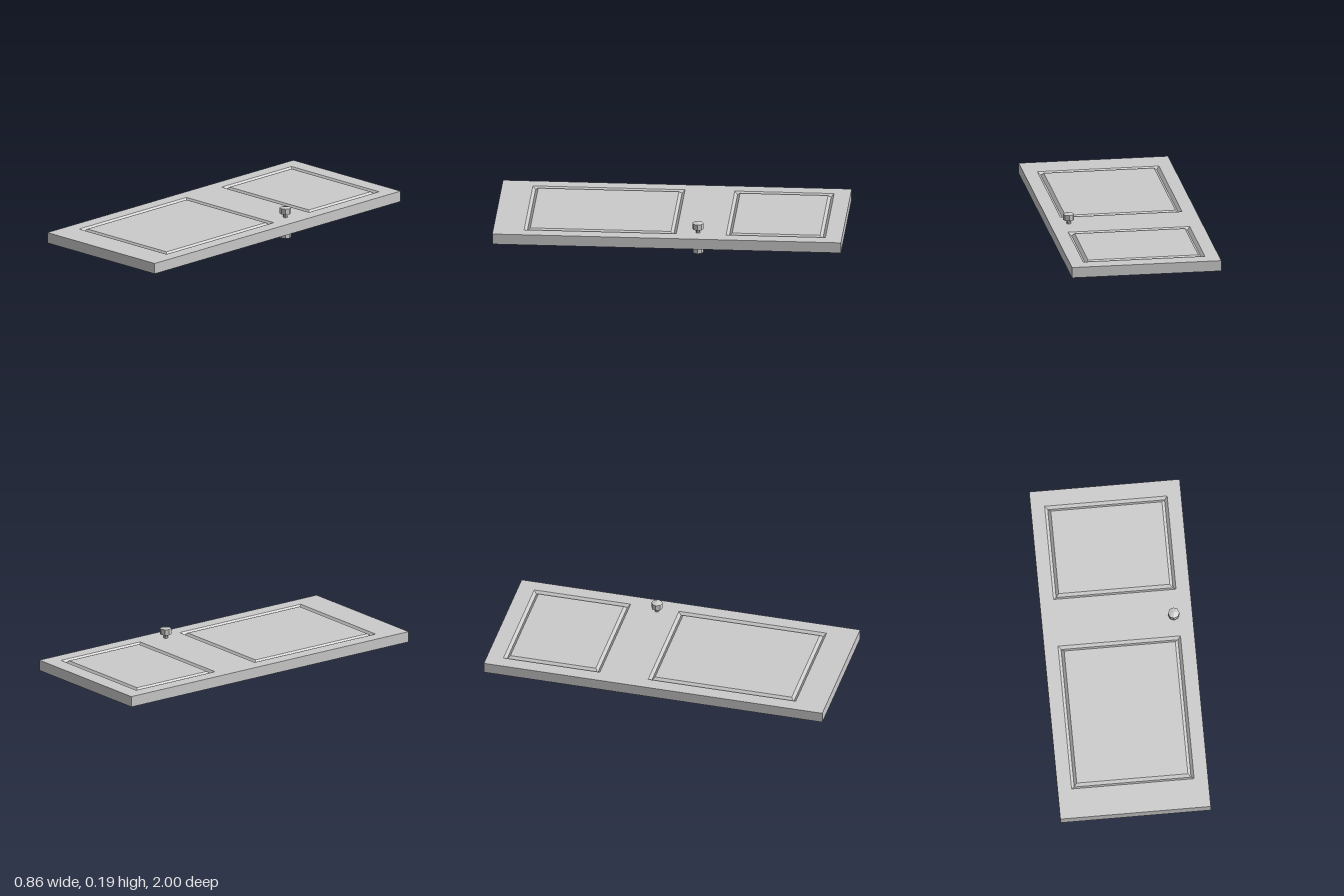
import * as THREE from 'three';

const BOTTOM = 0.065, TOP = 0.127, MID = (BOTTOM + TOP) / 2;
const HALF_W = 0.432, GROOVE = 0.033, DEPTH = 0.016;
const PANELS = [
  { name: 'upperPanel', halfW: 0.352, z0: -0.905, z1: -0.335 },
  { name: 'lowerPanel', halfW: 0.352, z0: -0.05, z1: 0.823 },
];

const material = new THREE.MeshStandardMaterial({ color: 0xcccccc, flatShading: true });

function addMesh(parent, name, geometry) {
  const mesh = new THREE.Mesh(geometry, material);
  mesh.name = name;
  parent.add(mesh);
  return mesh;
}

// Joins a series of rectangles [halfWidth, halfDepth, y] into a surface.
function loftRectangles(rects) {
  const points = [], index = [];
  rects.forEach(([w, d, y], i) => {
    points.push(-w, y, d, w, y, d, w, y, -d, -w, y, -d);
    if (i === 0) return;
    for (let k = 0; k < 4; k++) {
      const a = (i - 1) * 4 + k, b = (i - 1) * 4 + (k + 1) % 4;
      index.push(a, b, b + 4, a, b + 4, a + 4);
    }
  });
  const geometry = new THREE.BufferGeometry();
  geometry.setAttribute('position', new THREE.Float32BufferAttribute(points, 3));
  geometry.setIndex(index);
  const flat = geometry.toNonIndexed();
  flat.computeVertexNormals();
  return flat;
}

function rectPath(path, w, z0, z1) {
  path.moveTo(-w, -z0).lineTo(w, -z0).lineTo(w, -z1).lineTo(-w, -z1).closePath();
  return path;
}

// One face of the door: flat frame, two panels ringed by V grooves, and a knob.
// Heights are measured from the middle of the slab.
function createFace(name) {
  const face = new THREE.Group();
  face.name = name;
  const h = TOP - MID;

  // Frame around the panels
  const outline = rectPath(new THREE.Shape(), HALF_W, -1, 1);
  for (const p of PANELS) outline.holes.push(rectPath(new THREE.Path(), p.halfW, p.z0, p.z1));
  addMesh(face, 'frame', new THREE.ShapeGeometry(outline).rotateX(-Math.PI / 2).translate(0, h, 0));

  // Grooved panels
  for (const p of PANELS) {
    const d = (p.z1 - p.z0) / 2, g = GROOVE;
    const panel = addMesh(face, p.name, loftRectangles([
      [p.halfW, d, h],
      [p.halfW - g / 2, d - g / 2, h - DEPTH],
      [p.halfW - g, d - g, h],
      [0, 0, h],
    ]));
    panel.position.z = (p.z0 + p.z1) / 2;
  }

  // Octagonal knob on a short stem
  const knob = new THREE.Group();
  knob.name = 'knob';
  knob.position.set(0.324, 0, -0.172);
  const stem = addMesh(knob, 'knobStem', new THREE.CylinderGeometry(0.0125, 0.0125, 0.03, 8, 1, true));
  stem.position.y = h + 0.01;
  const profile = [[0, 0.054], [0.0325, 0.054], [0.0325, 0.088], [0, 0.096]];
  addMesh(knob, 'knobHead', new THREE.LatheGeometry(profile.map(([r, y]) => new THREE.Vector2(r, y)), 8));
  face.add(knob);
  return face;
}

export function createModel() {
  const door = new THREE.Group();
  door.name = 'door';

  // Outer edges of the slab
  addMesh(door, 'slabEdges', loftRectangles([[HALF_W, 1, BOTTOM], [HALF_W, 1, TOP]]));

  // Both faces; the lower one mirrors the upper one
  const upper = createFace('upperFace');
  const lower = createFace('lowerFace');
  lower.scale.y = -1;
  for (const face of [upper, lower]) {
    face.position.y = MID;
    door.add(face);
  }
  return door;
}
